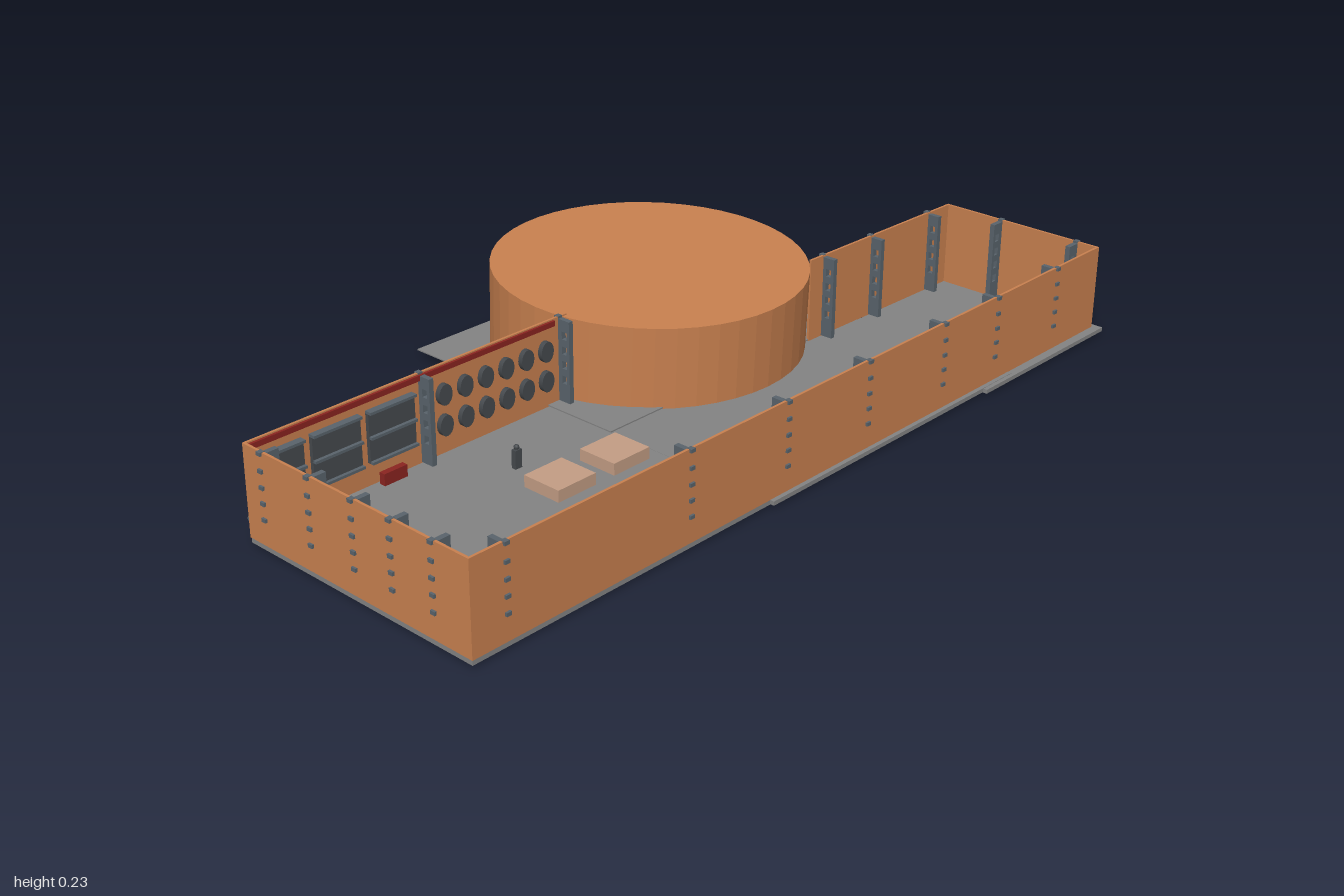
import * as THREE from 'three';

const mat = (name, color, extra = {}) => {
  const m = new THREE.MeshStandardMaterial({ color, ...extra });
  m.name = name;
  return m;
};

export function createModel() {
  const root = new THREE.Group();
  root.name = 'hall';
  const orange = mat('orange wall', 0xc8804f, { flatShading: true });
  const grey = mat('floor grey', 0x838383);
  const steel = mat('steel', 0x59636b);
  const dark = mat('dark panel', 0x45494d);
  const tan = mat('tan', 0xc39d84);
  const red = mat('dark red', 0x8a2420);

  const add = (name, geo, m, x = 0, y = 0, z = 0, parent = root) => {
    const mesh = new THREE.Mesh(geo, m);
    mesh.name = name;
    mesh.position.set(x, y, z);
    parent.add(mesh);
    return mesh;
  };
  // Box given by its lower and upper limits on each axis
  const span = (name, m, x0, x1, y0, y1, z0, z1, parent = root) =>
    add(name, new THREE.BoxGeometry(x1 - x0, y1 - y0, z1 - z0), m,
      (x0 + x1) / 2, (y0 + y1) / 2, (z0 + z1) / 2, parent);

  // Floor plates, overlapping at slightly different heights
  span('backFloor', grey, 0.095, 0.545, 0.008, 0.0175, -1, -0.525);
  span('middleFloor', grey, -0.1, 0.535, 0.009, 0.0185, -0.638, 0.195);
  span('frontFloor', grey, -0.1, 0.525, 0.008, 0.018, 0.19, 0.99);
  span('drumFloor', grey, -0.53, 0.09, 0.02, 0.023, -0.64, 0.2);

  // Outer walls
  const Y0 = 0.018, Y1 = 0.22;
  const wall = (name, ax, az, bx, bz) => {
    const len = Math.hypot(bx - ax, bz - az);
    const w = add(name, new THREE.BoxGeometry(len, Y1 - Y0, 0.006), orange,
      (ax + bx) / 2, (Y0 + Y1) / 2, (az + bz) / 2);
    w.rotation.y = -Math.atan2(bz - az, bx - ax);
  };
  wall('frontWall', -0.104, 0.987, 0.525, 0.987);
  wall('longWall', 0.522, 0.987, 0.522, -0.982);
  wall('backWall', 0.098, -0.982, 0.525, -0.982);
  wall('rearSideWall', 0.1, -0.982, 0.088, -0.46);
  wall('frontSideWall', -0.102, 0.987, -0.102, 0.14);

  // Slightly tilted round drum
  const drum = add('drum', new THREE.CylinderGeometry(0.366, 0.366, 0.204, 48), orange, -0.18, 0.118, -0.205);
  drum.rotation.z = -0.038;

  // Slotted wall posts with bolts through the wall; local +x points into the room
  const D = 0.034, H = 0.196;
  const outline = new THREE.Shape([[0, 0], [D, 0], [D, H], [0, H]].map(p => new THREE.Vector2(...p)));
  const rows = [0.056, 0.091, 0.125, 0.16];
  for (const r of rows) {
    const hole = new THREE.Path([[0.012, r - 0.009], [0.012, r + 0.009], [0.026, r + 0.009], [0.026, r - 0.009]]
      .map(p => new THREE.Vector2(...p)));
    outline.holes.push(hole);
  }
  const postGeo = new THREE.ExtrudeGeometry(outline, { depth: 0.012, bevelEnabled: false });
  postGeo.translate(0, 0, -0.006);
  const boltGeo = new THREE.BoxGeometry(0.012, 0.008, 0.012);
  const post = (x, z, angle) => {
    const g = new THREE.Group();
    g.name = 'wallPost';
    g.position.set(x, 0.02, z);
    g.rotation.y = angle;
    add('postPlate', postGeo, steel, 0, 0, 0, g);
    for (const r of [...rows, 0.197]) add('bolt', boltGeo, steel, -0.004, r, 0, g);
    root.add(g);
  };
  for (const x of [-0.05, 0.09, 0.215, 0.32, 0.43]) post(x, 0.985, Math.PI / 2);
  for (const x of [0.255, 0.465]) post(x, -0.98, -Math.PI / 2);
  for (const z of [-0.81, -0.575, -0.378, -0.115, 0.145, 0.43, 0.905]) post(0.52, z, Math.PI);
  for (const z of [-0.905, -0.685, -0.51]) post(0.098 + (z + 0.98) * -0.02, z, 0);
  for (const z of [0.16, 0.555]) post(-0.1, z, 0);

  // Red trim below the wall tops
  span('sideTrim', red, -0.099, -0.093, 0.205, 0.217, 0.18, 0.98);
  span('longTrim', red, 0.514, 0.519, 0.207, 0.216, 0.16, 0.98);

  // Two rows of oval plates on the front side wall
  const oval = new THREE.CylinderGeometry(0.024, 0.024, 0.012, 16);
  oval.rotateZ(Math.PI / 2);
  for (let i = 0; i < 6; i++)
    for (const y of [0.085, 0.155]) {
      const o = add('ovalPlate', oval, dark, -0.092, y, 0.21 + i * 0.058);
      o.scale.z = 0.75;
    }

  // Three shelf bays, with panels inside and sloped ledges outside
  for (let i = 0; i < 3; i++) {
    const z = 0.58 + i * 0.14;
    span('bayPanel', dark, -0.099, -0.09, 0.07, 0.18, z, z + 0.12);
    for (const y of [0.07, 0.125, 0.18])
      span('bayShelf', steel, -0.099, -0.082, y, y + 0.006, z, z + 0.12);
    const up = add('upperLedge', new THREE.BoxGeometry(0.03, 0.006, 0.12), steel, -0.112, 0.059, z + 0.06);
    up.rotation.z = 0.9;
    const low = add('lowerLedge', new THREE.BoxGeometry(0.03, 0.006, 0.12), steel, -0.112, 0.038, z + 0.06);
    low.rotation.z = -0.9;
  }
  span('redBox', red, -0.09, -0.075, 0.018, 0.045, 0.62, 0.68);

  // Low tan blocks
  span('tanBlock', tan, 0.13, 0.228, 0.018, 0.045, 0.228, 0.332);
  span('tanBlock', tan, 0.13, 0.228, 0.018, 0.045, 0.385, 0.49);

  // Grey tables on legs, each with a small object
  const table = (x0, x1, z0, z1) => {
    const g = new THREE.Group();
    g.name = 'table';
    root.add(g);
    span('tableTop', grey, x0, x1, 0.045, 0.05, z0, z1, g);
    for (const x of [x0, x1 - 0.006])
      for (const z of [z0, z1 - 0.006])
        span('tableLeg', steel, x, x + 0.006, 0.018, 0.045, z, z + 0.006, g);
    add('tableObject', new THREE.CylinderGeometry(0.005, 0.007, 0.02, 8), steel, x0 + 0.03, 0.06, z0 + 0.06, g);
  };
  table(0.397, 0.475, 0.437, 0.62);
  table(0.407, 0.49, 0.64, 0.825);

  // Small standing figure
  const figure = new THREE.Group();
  figure.name = 'figure';
  figure.position.set(0.058, 0.018, 0.442);
  add('body', new THREE.BoxGeometry(0.012, 0.042, 0.018), dark, 0, 0.021, 0, figure);
  add('head', new THREE.SphereGeometry(0.006, 10, 8), dark, 0, 0.047, 0, figure);
  root.add(figure);

  return root;
}
